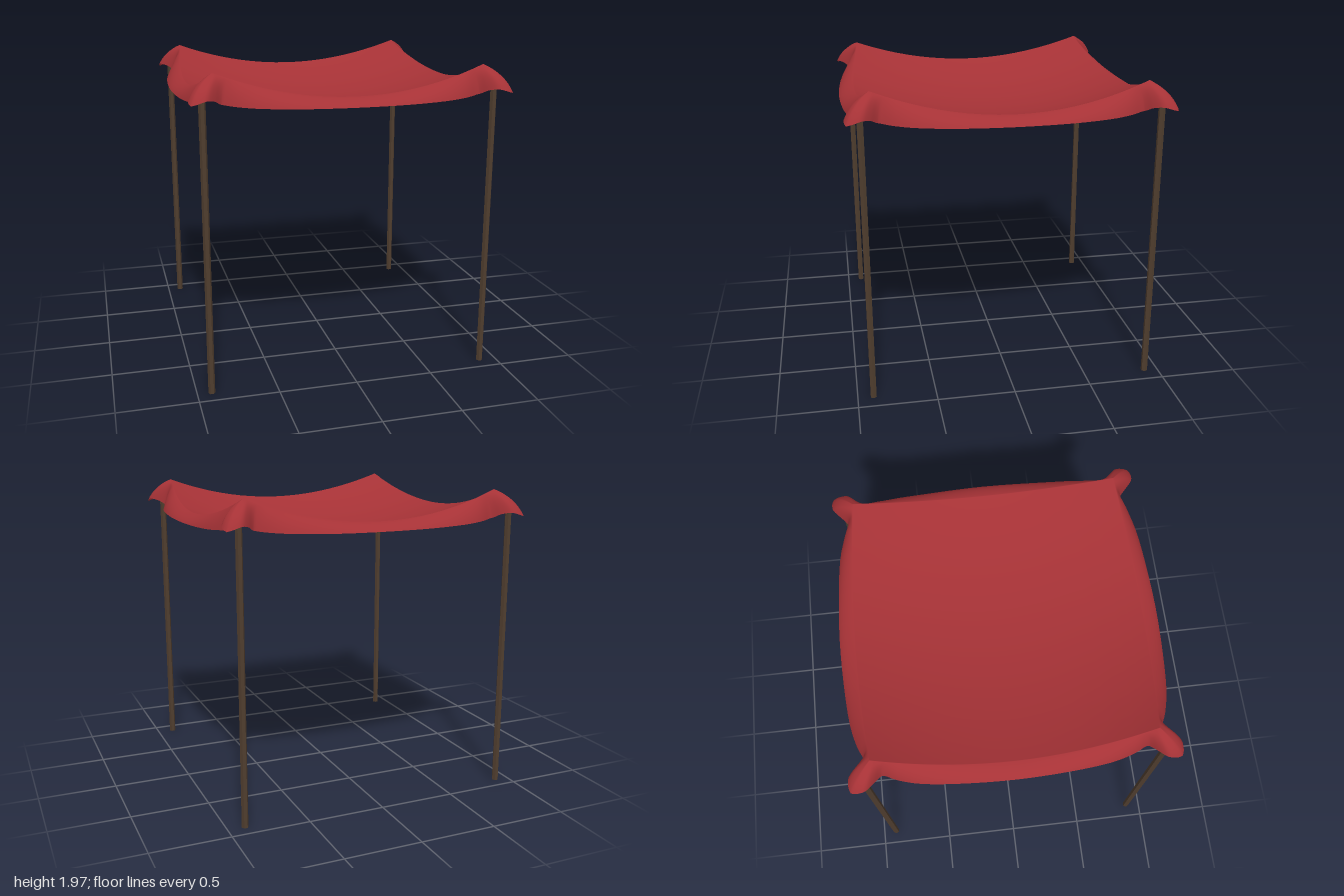
import * as THREE from 'three';
import { mergeGeometries, mergeVertices } from 'three/addons/utils/BufferGeometryUtils.js';

// Half of one hem, middle to corner: [parameter s, along, outward, height]
const HEM = [
  [0, 0, 1.0, 1.76], [0.34, 0.3, 0.99, 1.762], [0.64, 0.55, 0.967, 1.77],
  [0.82, 0.7, 0.93, 1.78], [0.9, 0.78, 0.895, 1.79], [0.93, 0.81, 0.908, 1.8],
  [0.955, 0.84, 0.94, 1.82], [0.975, 0.89, 0.983, 1.83], [0.99, 0.945, 0.99, 1.815],
  [1, 0.98, 0.98, 1.805],
];
const FULL = [...HEM.slice(1).reverse().map(([s, x, z, y]) => [-s, -x, z, y]), ...HEM];
const SUB = 3;
const N = (FULL.length - 1) * SUB;

// Grid of quads from a point function, facing up or outward
function gridSurface(nu, nv, point) {
  const positions = [], index = [];
  for (let j = 0; j <= nv; j++) {
    for (let i = 0; i <= nu; i++) positions.push(...point(i, j).toArray());
  }
  for (let j = 0; j < nv; j++) {
    for (let i = 0; i < nu; i++) {
      const a = j * (nu + 1) + i, b = a + 1, c = a + nu + 1, d = c + 1;
      index.push(a, c, b, b, c, d);
    }
  }
  const geometry = new THREE.BufferGeometry();
  geometry.setAttribute('position', new THREE.Float32BufferAttribute(positions, 3));
  geometry.setIndex(index);
  return geometry;
}

// Sagging cloth inside the ridge, s and t from -1 to 1
function sag(s, t) {
  return new THREE.Vector3(
    0.84 * s + 0.06 * s * (1 - t * t),
    1.665 + 0.145 * (s * s + t * t) + 0.015 * s * s * t * t,
    0.84 * t + 0.06 * t * (1 - s * s));
}

function canopyGeometry() {
  const curve = new THREE.CatmullRomCurve3(
    FULL.map(([, x, z, y]) => new THREE.Vector3(x, y, z)), false, 'catmullrom', 0.5);
  const hem = [], params = [];
  for (let i = 0; i <= N; i++) {
    const k = Math.min(Math.floor(i / SUB), FULL.length - 2);
    params.push(THREE.MathUtils.lerp(FULL[k][0], FULL[k + 1][0], i / SUB - k));
    hem.push(curve.getPoint(i / N));
  }
  const parts = [gridSurface(N, N, (i, j) => sag(params[i], params[j]))];

  // Rounded flap from ridge to hem, once for each side
  const rows = 8;
  for (let side = 0; side < 4; side++) {
    const flap = gridSurface(N, rows, (i, j) => {
      const w = j / rows, ridge = sag(params[i], 1), end = hem[i];
      const out = (w + Math.sin(w * Math.PI / 2)) / 2;
      const down = (w + 1 - Math.cos(w * Math.PI / 2)) / 2;
      return new THREE.Vector3(
        THREE.MathUtils.lerp(ridge.x, end.x, out),
        THREE.MathUtils.lerp(ridge.y, end.y, down),
        THREE.MathUtils.lerp(ridge.z, end.z, out));
    });
    parts.push(flap.rotateY(side * Math.PI / 2));
  }
  const cloth = mergeVertices(mergeGeometries(parts), 1e-5);
  cloth.computeVertexNormals();
  return cloth;
}

export function createModel() {
  const red = new THREE.MeshStandardMaterial({ color: 0xa63236, side: THREE.DoubleSide });
  red.name = 'red cloth';
  const brown = new THREE.MeshStandardMaterial({ color: 0x4f3d2e, flatShading: true });
  brown.name = 'dark wood';

  const group = new THREE.Group();
  group.name = 'clothCanopy';

  const canopy = new THREE.Mesh(canopyGeometry(), red);
  canopy.name = 'canopy';
  group.add(canopy);

  // Six-sided corner poles
  const height = 1.87;
  const poleGeometry = new THREE.CylinderGeometry(0.0215, 0.0215, height, 6)
    .rotateY(Math.PI / 6).translate(0, height / 2, 0);
  for (const [name, x, z] of [
    ['frontLeftPole', 0.89, 0.9], ['frontRightPole', -0.91, 0.9],
    ['backLeftPole', 0.89, -0.91], ['backRightPole', -0.91, -0.91],
  ]) {
    const pole = new THREE.Mesh(poleGeometry, brown);
    pole.name = name;
    pole.position.set(x, 0, z);
    group.add(pole);
  }
  return group;
}
